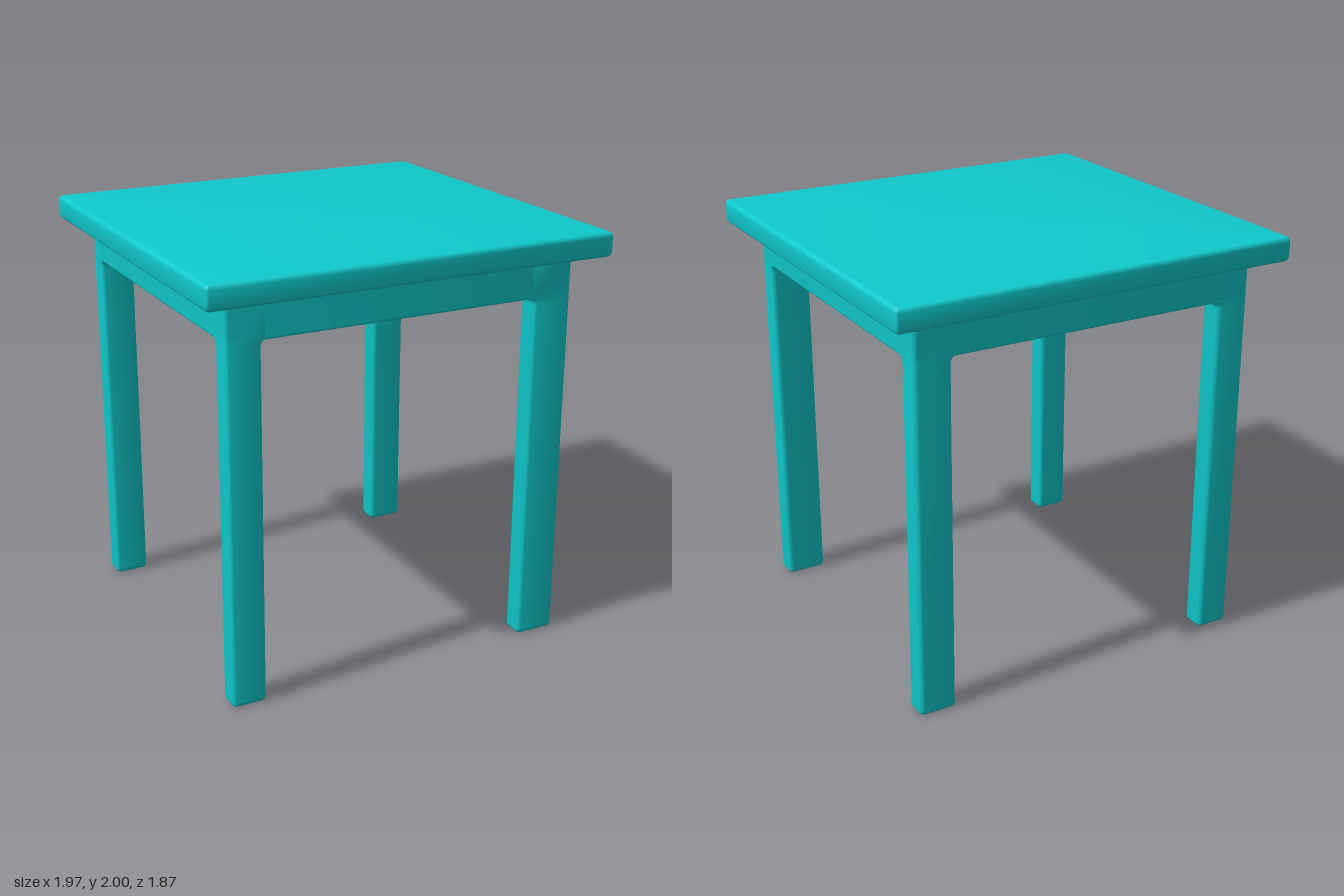
import * as THREE from 'three';
import { toCreasedNormals } from 'three/addons/utils/BufferGeometryUtils.js';

const STEPS = 5; // segments per rounded corner
const R = 0.022; // edge radius
const APRON = { x0: -0.855, x1: 0.852, z0: -0.81, z1: 0.815 };

// Closed solid through rounded rectangles listed from bottom to top
function loft(rows) {
  const pos = [], idx = [];
  for (const { y, x0, x1, z0, z1, r } of rows) {
    for (let q = 0; q < 4; q++) {
      const cx = q === 0 || q === 3 ? x1 - r : x0 + r;
      const cz = q < 2 ? z1 - r : z0 + r;
      for (let k = 0; k <= STEPS; k++) {
        const a = (q + k / STEPS) * Math.PI / 2;
        pos.push(cx + r * Math.cos(a), y, cz + r * Math.sin(a));
      }
    }
  }
  const n = 4 * (STEPS + 1), last = (rows.length - 1) * n;
  for (let i = 0; i < last; i += n) {
    for (let j = 0; j < n; j++) {
      const a = i + j, b = i + (j + 1) % n;
      idx.push(a, a + n, b, b, a + n, b + n);
    }
  }
  for (let j = 1; j < n - 1; j++) {
    idx.push(0, j, j + 1, last, last + j + 1, last + j);
  }
  const geo = new THREE.BufferGeometry();
  geo.setAttribute('position', new THREE.Float32BufferAttribute(pos, 3));
  geo.setIndex(idx);
  return toCreasedNormals(geo, 0.6);
}

// One cross-section, each side moved outward by its own amount
function section(y, b, o, r, sides = { x0: 1, x1: 1, z0: 1, z1: 1 }) {
  return {
    y, r,
    x0: b.x0 - o * sides.x0, x1: b.x1 + o * sides.x1,
    z0: b.z0 - o * sides.z0, z1: b.z1 + o * sides.z1,
  };
}

// Quarter-circle steps as angles from 0 to 90 degrees
const quarter = Array.from({ length: STEPS + 1 }, (_, k) => k / STEPS * Math.PI / 2);

// Convex rounding at the bottom of a solid
function bottomEdge(y, b, e) {
  return quarter.map(t => {
    const o = -e * (1 - Math.sin(t));
    return section(y + e * (1 - Math.cos(t)), b, o, R + o * 0.8);
  });
}

// Concave fillet flaring out to meet the surface above
function cove(yTop, b, f, sides) {
  return quarter.map(t => section(yTop - f + f * Math.sin(t), b, f * (1 - Math.cos(t)), R, sides));
}

export function createModel() {
  const group = new THREE.Group();
  const material = new THREE.MeshStandardMaterial({ color: 0x0fc9cc });
  const add = (name, rows) => {
    const mesh = new THREE.Mesh(loft(rows), material);
    mesh.name = name;
    group.add(mesh);
  };

  // Top slab, rounded along both edges
  const slab = { x0: -0.985, x1: 0.985, z0: -0.937, z1: 0.937 };
  const lower = bottomEdge(1.885, slab, R);
  const upper = lower.map(s => ({ ...s, y: 1.885 + 2 - s.y })).reverse();
  add('tableTop', [...lower, ...upper]);

  // Solid apron block with a cove under the slab
  add('apron', [...bottomEdge(1.7, APRON, 0.012), ...cove(1.888, APRON, 0.03)]);

  // Legs, flush with the apron outside and filleted to it inside
  const legs = [
    { name: 'frontLeftLeg', sx: 1, sz: 1, w: 0.195 },
    { name: 'frontRightLeg', sx: -1, sz: 1, w: 0.165 },
    { name: 'backLeftLeg', sx: 1, sz: -1, w: 0.18 },
    { name: 'backRightLeg', sx: -1, sz: -1, w: 0.165 },
  ];
  for (const { name, sx, sz, w } of legs) {
    const d = 0.112;
    const b = {
      x0: sx > 0 ? APRON.x1 - w : APRON.x0, x1: sx > 0 ? APRON.x1 : APRON.x0 + w,
      z0: sz > 0 ? APRON.z1 - d : APRON.z0, z1: sz > 0 ? APRON.z1 : APRON.z0 + d,
    };
    const inner = { x0: +(sx > 0), x1: +(sx < 0), z0: +(sz > 0), z1: +(sz < 0) };
    const fillet = cove(1.705, b, 0.035, inner);
    add(name, [...bottomEdge(0.003, b, R), ...fillet, { ...fillet[STEPS], y: 1.85 }]);
  }
  return group;
}
